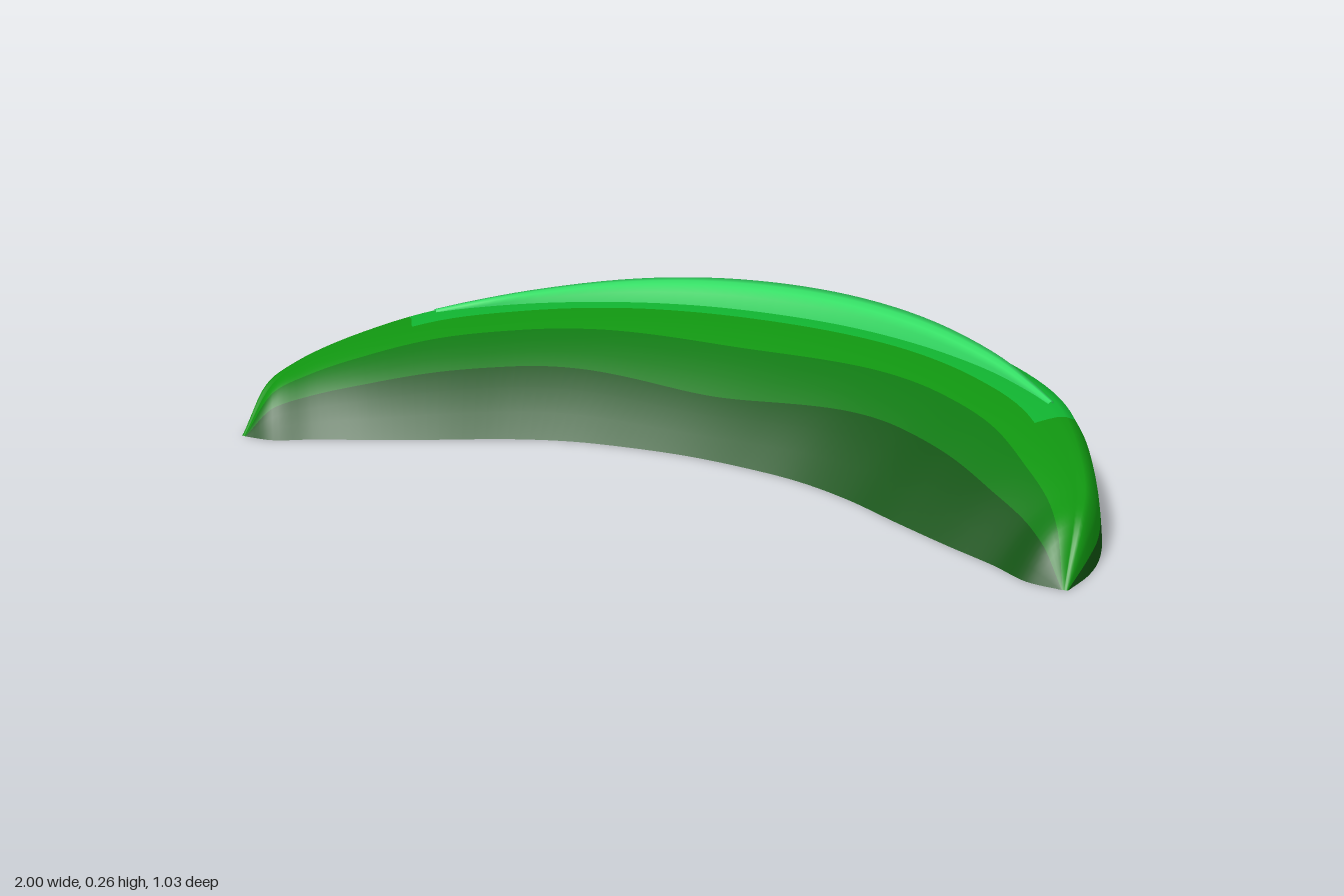
import * as THREE from 'three';

const mat = (name, color, extra = {}) => Object.assign(new THREE.MeshStandardMaterial({ color, ...extra }), { name });

// Half outline from the middle to the left tip, mirrored into one smooth curve
function mirroredCurve(half) {
  const pts = half.map(([x, y, z]) => new THREE.Vector3(x, y, z));
  const other = pts.slice(1).reverse().map(p => new THREE.Vector3(-p.x, p.y, p.z));
  return new THREE.CatmullRomCurve3([...other, ...pts]);
}

// Skin over columns of points; pick(i, j) gives the material index of each cell
function skin(columns, materialCount, pick) {
  const rows = columns[0].length, pos = [], buckets = Array.from({ length: materialCount }, () => []);
  columns.forEach(c => c.forEach(p => pos.push(p.x, p.y, p.z)));
  for (let i = 0; i < columns.length - 1; i++) {
    for (let j = 0; j < rows - 1; j++) {
      const a = i * rows + j, b = a + rows;
      buckets[pick(i, j)].push(a, a + 1, b, b, a + 1, b + 1);
    }
  }
  const geo = new THREE.BufferGeometry();
  geo.setAttribute('position', new THREE.Float32BufferAttribute(pos, 3));
  geo.setIndex(buckets.flat());
  let start = 0;
  buckets.forEach((b, m) => { geo.addGroup(start, b.length, m); start += b.length; });
  geo.computeVertexNormals();
  return geo;
}

export function createModel() {
  const group = new THREE.Group();
  const deep = mat('deep green', 0x0f5210);
  const dark = mat('dark green', 0x0f7812);
  const mid = mat('leaf green', 0x109410);
  const bright = mat('bright green', 0x10b230);
  const light = mat('light green', 0x33dd64, { side: THREE.DoubleSide });

  // Footprint edges and crest line of the crescent
  const outer = mirroredCurve([[0, 0, -0.513], [0.22, 0, -0.495], [0.46, 0, -0.41], [0.68, 0, -0.265],
    [0.84, 0, -0.07], [0.95, 0, 0.17], [0.995, 0, 0.33], [1, 0, 0.42], [0.985, 0, 0.51]]);
  const inner = mirroredCurve([[0, 0, 0.18], [0.13, 0, 0.188], [0.28, 0, 0.212], [0.42, 0, 0.262],
    [0.56, 0, 0.335], [0.7, 0, 0.405], [0.82, 0, 0.46], [0.9, 0, 0.505], [0.97, 0, 0.512]]);
  const crest = mirroredCurve([[0, 0.21, -0.34], [0.2, 0.209, -0.32], [0.4, 0.205, -0.26], [0.6, 0.198, -0.15],
    [0.77, 0.188, 0], [0.88, 0.162, 0.18], [0.94, 0.132, 0.31], [0.965, 0.1, 0.41], [0.978, 0, 0.511]]);

  const N = 96, SUB = 3;
  const station = i => Math.abs(i / N * 2 - 1) * 8;
  // A point between a footprint edge and the crest, on a rounded profile
  const slope = (edge, top, f, power) => {
    const p = edge.clone().lerp(top, f);
    p.y = top.y * (1 - Math.pow(1 - f, power));
    return p;
  };
  const subdivide = marks => {
    const out = [];
    for (let k = 0; k < marks.length - 1; k++)
      for (let s = 0; s < SUB; s++) out.push(THREE.MathUtils.lerp(marks[k], marks[k + 1], s / SUB));
    return [...out, marks[marks.length - 1]];
  };

  // Rounded body: back slope up to the crest, then the front slope down
  const columns = [], base = [];
  for (let i = 0; i <= N; i++) {
    const t = i / N, o = outer.getPoint(t), n = inner.getPoint(t), c = crest.getPoint(t);
    const m = THREE.MathUtils.smoothstep(station(i), 0, 3);
    const back = subdivide([0, 0.1, 0.3, 1]).map(f => slope(o, c, f, 4));
    const front = subdivide([0, 0.25 + 0.1 * m, 0.54 + 0.08 * m, 0.8 + 0.04 * m, 1])
      .map(f => slope(n, c, f, 2.3)).reverse();
    columns.push([...back, ...front.slice(1)]);
    base.push([n, o]);
  }
  const bands = [1, 2, 3, 3, 2, 1, 0];
  const bodyGeo = skin(columns, 4, (i, j) => {
    const k = Math.floor(j / SUB), s = station(i + 0.5);
    if (k === 0 && s > 4.2) return 0;
    if (bands[k] === 3 && s > 4.3) return 2;
    return bands[k];
  });
  const body = new THREE.Mesh(bodyGeo, [deep, dark, mid, bright]);
  body.name = 'crescentBody';
  group.add(body);

  // Flat underside
  const underside = new THREE.Mesh(skin(base, 1, () => 0), [deep]);
  underside.name = 'underside';
  group.add(underside);

  // Raised ridge along the crest, tapering to both ends
  const ridgeBack = mirroredCurve([[0, 0.175, -0.405], [0.2, 0.175, -0.385], [0.4, 0.175, -0.32],
    [0.6, 0.17, -0.2], [0.73, 0.168, -0.07], [0.79, 0.165, -0.005]]);
  const ridgeFront = mirroredCurve([[0, 0.19, -0.28], [0.2, 0.19, -0.265], [0.4, 0.185, -0.215],
    [0.59, 0.175, -0.13], [0.7, 0.17, -0.055], [0.775, 0.165, 0.005]]);
  const ridgeTop = mirroredCurve([[0, 0.262, 0], [0.2, 0.258, 0], [0.4, 0.245, 0],
    [0.6, 0.222, 0], [0.72, 0.205, 0], [0.78, 0.193, 0]]);
  const ridgeColumns = [];
  for (let i = 0; i <= 48; i++) {
    const t = i / 48, a = ridgeBack.getPoint(t), b = ridgeFront.getPoint(t), y = ridgeTop.getPoint(t).y;
    const at = (f, h) => a.clone().lerp(b, f).setY(h);
    ridgeColumns.push([a, at(0.33, y), at(0.6, y), at(0.85, y - 0.003), at(0.96, THREE.MathUtils.lerp(b.y, y, 0.7)), b]);
  }
  const ridge = new THREE.Mesh(skin(ridgeColumns, 1, () => 0), [light]);
  ridge.name = 'ridge';
  group.add(ridge);

  return group;
}
